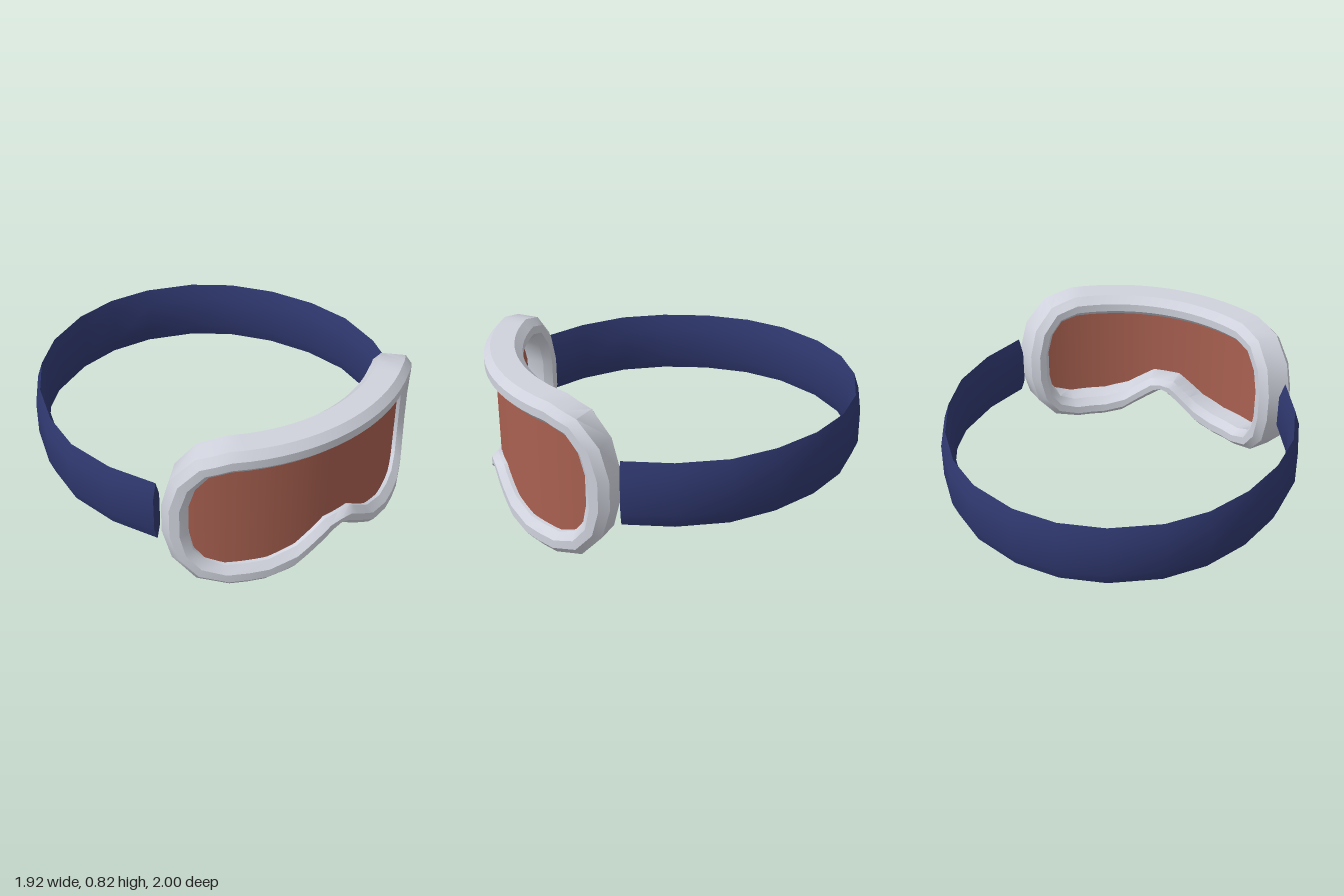
import * as THREE from 'three';
import { toCreasedNormals } from 'three/addons/utils/BufferGeometryUtils.js';

const paint = (name, color) => Object.assign(new THREE.MeshStandardMaterial({ color }), { name });

// Skin a list of equal cross-sections; a closed path joins up, an open one is capped
function loft(sections, closed) {
  const n = sections.length, m = sections[0].length, index = [];
  for (let i = 0; i < (closed ? n : n - 1); i++) {
    for (let j = 0; j < m; j++) {
      const a = i * m + j, b = ((i + 1) % n) * m + j;
      const c = ((i + 1) % n) * m + (j + 1) % m, d = i * m + (j + 1) % m;
      index.push(a, b, c, a, c, d);
    }
  }
  if (!closed) {
    const e = (n - 1) * m;
    for (let j = 1; j < m - 1; j++) index.push(0, j, j + 1, e, e + j + 1, e + j);
  }
  const g = new THREE.BufferGeometry();
  g.setAttribute('position', new THREE.Float32BufferAttribute(sections.flat(2), 3));
  g.setIndex(index);
  return toCreasedNormals(g, 0.6);
}

// Wrap a flat front point (x, y) round the face, at a depth behind the front
const R = 1.08, CZ = -0.08;
function bend(x, y, depth) {
  const k = 1 - depth / R;
  return [x * k, y, CZ + Math.sqrt(R * R - x * x) * k];
}

// Half outline of the frame, top centre to nose: outer x, y, inner x, y, subdivisions
const HALF = [
  [0, 0.83, 0, 0.71, 8], [0.56, 0.83, 0.545, 0.71, 2], [0.69, 0.787, 0.63, 0.685, 1],
  [0.775, 0.66, 0.68, 0.61, 1], [0.805, 0.5, 0.705, 0.5, 1], [0.805, 0.34, 0.705, 0.34, 1],
  [0.775, 0.18, 0.69, 0.24, 1], [0.69, 0.05, 0.65, 0.17, 1], [0.56, 0.005, 0.57, 0.13, 2],
  [0.4, 0.005, 0.38, 0.13, 1], [0.28, 0.03, 0.24, 0.17, 4], [0.04, 0.185, 0.08, 0.275, 1],
  [0, 0.21, 0, 0.275, 0],
];

function fullOutline() {
  const right = [];
  HALF.forEach((p, i) => {
    for (let s = 0; s < p[4]; s++) {
      right.push([0, 1, 2, 3].map((k) => THREE.MathUtils.lerp(p[k], HALF[i + 1][k], s / p[4])));
    }
  });
  right.push(HALF[HALF.length - 1].slice(0, 4));
  const left = right.slice(1, -1).reverse().map(([a, b, c, d]) => [-a, b, -c, d]);
  return [...right, ...left].map(([a, b, c, d]) => [a * 1.033, b, c * 1.05, d]);
}

// Bevelled frame section: fraction from outer to inner edge, depth
const FRAME = [[0.7, 0], [0.33, 0], [0, 0.035], [0, 0.16], [0.33, 0.2], [0.7, 0.2], [1, 0.16], [1, 0.035]];

function frameGeometry() {
  return loft(fullOutline().map(([a, b, c, d]) => FRAME.map(([f, depth]) =>
    bend(THREE.MathUtils.lerp(a, c, f), THREE.MathUtils.lerp(b, d, f), depth))), true);
}

// Curved lens sheet whose edge runs inside the frame
function lensGeometry() {
  const edge = HALF.map(([a, b, c, d]) => [(a * 1.033 + c * 1.05) / 2, (b + d) / 2]);
  const top = edge.slice(0, 5), bottom = edge.slice(5).reverse();
  const heightAt = (line, x) => {
    let i = 0;
    while (i < line.length - 2 && line[i + 1][0] < x) i++;
    const [p, q] = [line[i], line[i + 1]];
    return THREE.MathUtils.mapLinear(x, p[0], q[0], p[1], q[1]);
  };
  const g = new THREE.PlaneGeometry(2, 1, 48, 4), pos = g.attributes.position;
  for (let i = 0; i < pos.count; i++) {
    const x = pos.getX(i) * top[4][0], t = pos.getY(i) + 0.5;
    const y = THREE.MathUtils.lerp(heightAt(bottom, Math.abs(x)), heightAt(top, Math.abs(x)), t);
    pos.setXYZ(i, ...bend(x, y, 0.055));
  }
  g.computeVertexNormals();
  return g;
}

// Outer edge of the strap seen from above, front end to back centre
const STRAP = [
  [0.815, 0.54], [0.915, 0.3], [0.96, 0.03], [0.925, -0.225], [0.83, -0.475],
  [0.685, -0.69], [0.5, -0.85], [0.245, -0.965], [0, -1],
];
// Strap section: outward offset, height
const BAND = [[0, 0.32], [0, 0.505], [-0.028, 0.59], [-0.056, 0.505], [-0.056, 0.32], [-0.028, 0.245]];

function strapGeometry() {
  const path = [...STRAP, ...STRAP.slice(0, -1).reverse().map(([x, z]) => [-x, z])];
  return loft(path.map(([x, z], i) => {
    const p = path[Math.max(i - 1, 0)], q = path[Math.min(i + 1, path.length - 1)];
    const out = new THREE.Vector2(p[1] - q[1], q[0] - p[0]).normalize();
    return BAND.map(([o, y]) => [x + out.x * o, y, z + out.y * o]);
  }), false);
}

export function createModel() {
  const frameGrey = paint('frame grey', 0xcfd2dc);
  const lensRed = paint('lens red', 0xa86050);
  lensRed.side = THREE.DoubleSide;
  const strapBlue = paint('strap blue', 0x2f386f);

  const model = new THREE.Group();
  model.name = 'goggles';
  const add = (name, geometry, material) => {
    const mesh = new THREE.Mesh(geometry, material);
    mesh.name = name;
    model.add(mesh);
  };
  add('frame', frameGeometry(), frameGrey);
  add('lens', lensGeometry(), lensRed);
  add('strap', strapGeometry(), strapBlue);
  return model;
}
